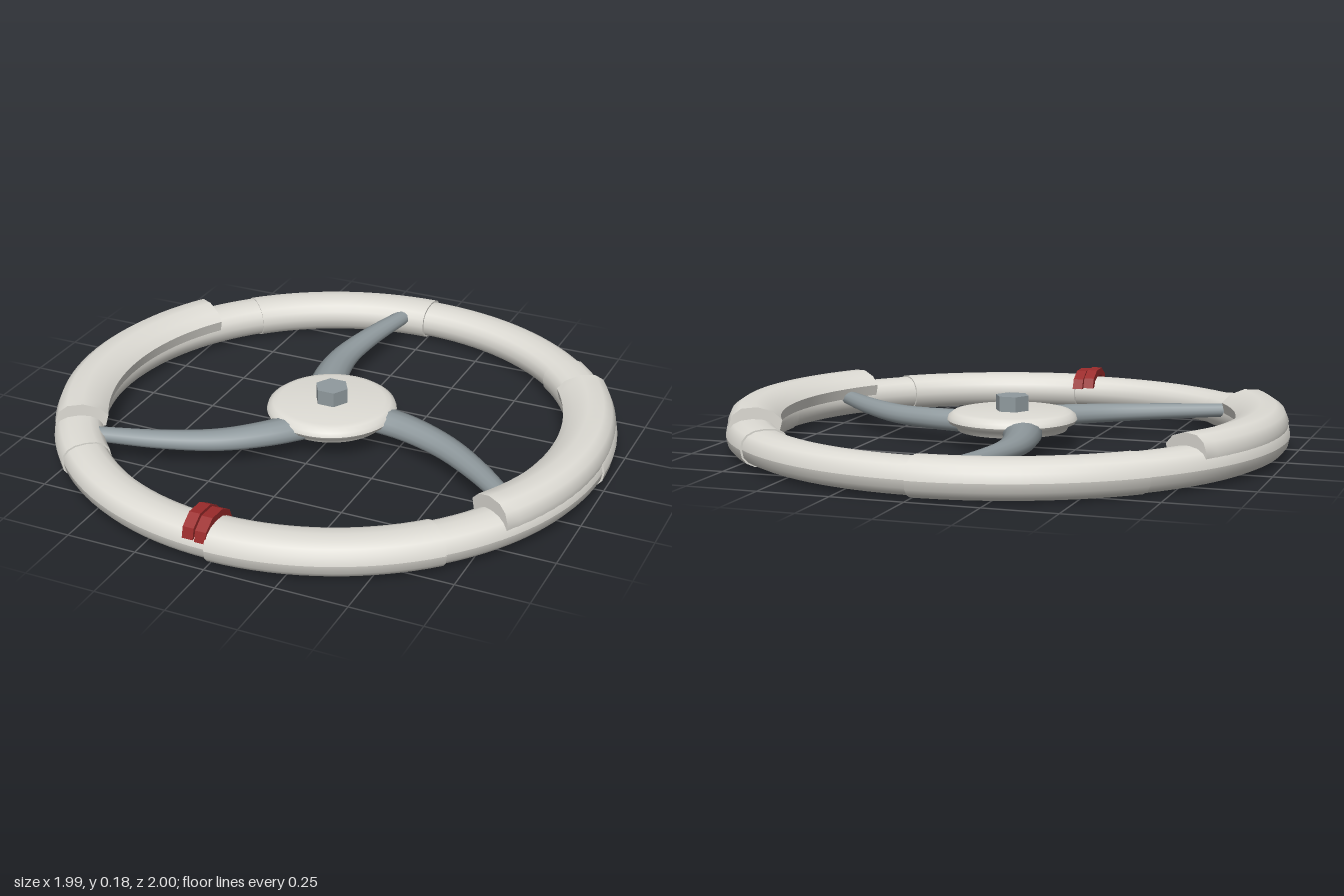
import * as THREE from 'three';
import { toCreasedNormals } from 'three/addons/utils/BufferGeometryUtils.js';

const RAD = Math.PI / 180;

function material(name, color) {
  const m = new THREE.MeshStandardMaterial({ color, side: THREE.DoubleSide });
  m.name = name;
  return m;
}

export function createModel() {
  const group = new THREE.Group();
  group.name = 'handwheel';
  const ivory = material('ivory', 0xdedcd5);
  const steel = material('steel grey', 0x909a9e);
  const red = material('dark red', 0x9a2b2b);

  const add = (parent, name, geo, mat) => {
    const mesh = new THREE.Mesh(geo, mat);
    mesh.name = name;
    parent.add(mesh);
    return mesh;
  };

  // Sweeps a closed (radius, height) profile round y from angle a to b (degrees, +x towards +z), with end caps
  function arcSweep(name, profile, a, b, mat, crease) {
    const part = new THREE.Group();
    part.name = name;
    const pts = profile.map(([r, y]) => new THREE.Vector2(r, y));
    const steps = Math.max(6, Math.round((b - a) / 3));
    const body = new THREE.LatheGeometry([...pts, pts[0].clone()], steps, (90 - b) * RAD, (b - a) * RAD);
    add(part, name + 'Body', crease ? toCreasedNormals(body, crease) : body, mat);
    for (const end of [a, b]) {
      add(part, name + 'End', new THREE.ShapeGeometry(new THREE.Shape(pts)), mat).rotation.y = -end * RAD;
    }
    group.add(part);
  }

  // Rim: sleeve sections of alternating thickness, with a step at each joint
  const rimProfile = (half) => Array.from({ length: 16 }, (_, i) => {
    const t = (i / 16) * Math.PI * 2;
    const soft = (v) => Math.sign(v) * Math.pow(Math.abs(v), 0.85);
    return [0.909 + half * soft(Math.cos(t)), 0.067 + half * 0.735 * soft(Math.sin(t))];
  });
  const sections = [[-135, -90, 0.091], [-90, -45, 0.082], [-45, 0, 0.089], [0, 45, 0.082],
    [45, 90, 0.089], [90, 135, 0.08], [135, 225, 0.087]];
  for (const [a, b, half] of sections) arcSweep('rimSection', rimProfile(half), a, b, ivory);

  // Raised hand grips on both sides
  const grip = [[0.815, 0.085], [0.985, 0.085], [0.99, 0.115], [0.975, 0.15], [0.945, 0.17],
    [0.89, 0.173], [0.835, 0.155], [0.805, 0.125]];
  for (const mid of [0, 180]) arcSweep('handGrip', grip, mid - 32, mid + 32, ivory, 0.6);

  // Hub disc and hexagonal nut
  const hub = new THREE.Group();
  hub.name = 'hub';
  hub.position.x = -0.015;
  group.add(hub);
  const hubProfile = [[0, 0.062], [0.195, 0.062], [0.205, 0.08], [0.225, 0.088], [0.232, 0.1],
    [0.227, 0.115], [0.21, 0.127], [0.19, 0.131], [0, 0.131]].map(([r, y]) => new THREE.Vector2(r, y));
  add(hub, 'hubDisc', toCreasedNormals(new THREE.LatheGeometry(hubProfile, 48), 0.7), ivory);
  const nutGeo = toCreasedNormals(new THREE.CylinderGeometry(0.061, 0.061, 0.055, 6), 0.5);
  const nut = add(hub, 'nut', nutGeo, steel);
  nut.rotation.y = Math.PI / 6;
  nut.position.y = 0.1575;

  // Curved spokes: a tube with tapering oval cross-section
  const path = new THREE.CatmullRomCurve3([[-0.09, 0.085, -0.12], [-0.135, 0.083, -0.25], [-0.16, 0.08, -0.42],
    [-0.142, 0.082, -0.62], [-0.085, 0.088, -0.87]].map((p) => new THREE.Vector3(...p)));
  const rows = 28, sides = 14;
  const spokeGeo = new THREE.TubeGeometry(path, rows, 1, sides);
  const pos = spokeGeo.attributes.position;
  for (let i = 0; i < pos.count; i++) {
    const t = Math.floor(i / (sides + 1)) / rows;
    const c = path.getPointAt(t);
    const wide = THREE.MathUtils.lerp(0.073, 0.032, t);
    const tall = THREE.MathUtils.lerp(0.04, 0.024, t);
    pos.setXYZ(i, c.x + (pos.getX(i) - c.x) * wide, c.y + (pos.getY(i) - c.y) * tall, c.z + (pos.getZ(i) - c.z) * wide);
  }
  for (let k = 0; k < 3; k++) {
    add(group, 'spoke', spokeGeo, steel).rotation.y = (-k * 2 * Math.PI) / 3;
  }

  // Red marker clip: two narrow arched bands over the front of the rim
  const arch = [[1.0, 0.088], [0.99, 0.125], [0.945, 0.155], [0.875, 0.152], [0.83, 0.125], [0.815, 0.088],
    [0.835, 0.088], [0.85, 0.112], [0.885, 0.128], [0.935, 0.128], [0.97, 0.108], [0.98, 0.088]];
  const archShape = new THREE.Shape(arch.map(([z, y]) => new THREE.Vector2(z - 0.01, y)));
  const bandGeo = new THREE.ExtrudeGeometry(archShape, { depth: 0.039, bevelEnabled: false });
  [[-0.08, 0.005], [-0.036, 0]].forEach(([x, y]) => {
    const band = add(group, 'markerBand', bandGeo, red);
    band.rotation.y = -Math.PI / 2;
    band.position.set(x + 0.039, y, 0);
  });

  return group;
}
